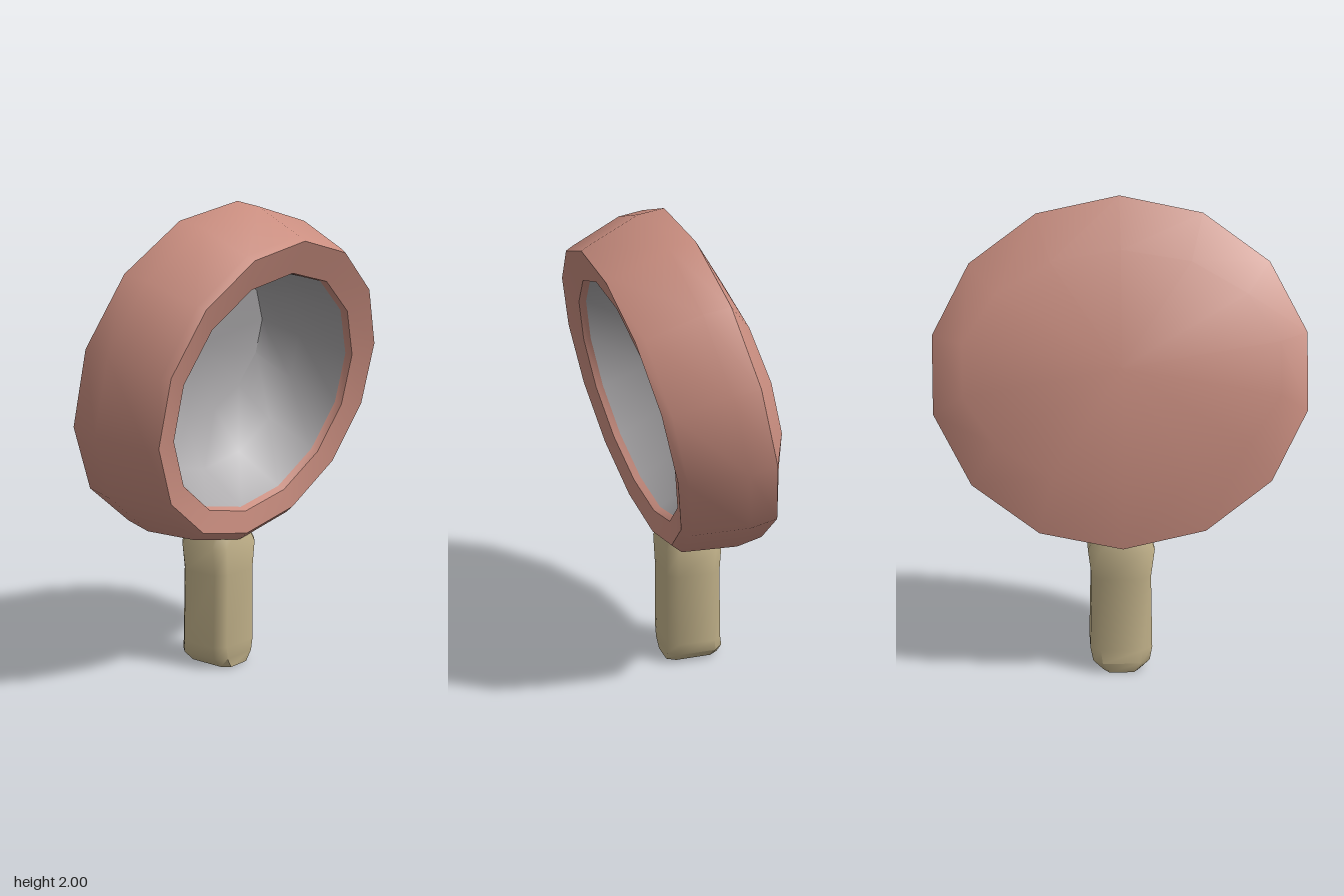
import * as THREE from 'three';
import { toCreasedNormals } from 'three/addons/utils/BufferGeometryUtils.js';

// Skin over elliptical rings [rx, ry, y, z]; power < 1 squares the section off.
function loft(rings, n, phase, power, crease) {
  const pos = [], index = [];
  const shape = (v) => Math.sign(v) * Math.abs(v) ** power;
  for (const [rx, ry, y, z] of rings) {
    for (let j = 0; j < n; j++) {
      const a = phase + (j / n) * Math.PI * 2;
      pos.push(rx * shape(Math.cos(a)), y + ry * shape(Math.sin(a)), z);
    }
  }
  for (let i = 0; i < rings.length - 1; i++) {
    for (let j = 0; j < n; j++) {
      const k = (j + 1) % n;
      const a = i * n + j, b = i * n + k, c = a + n, d = b + n;
      if (rings[i][0] > 0) index.push(a, c, b);
      if (rings[i + 1][0] > 0) index.push(b, c, d);
    }
  }
  const geo = new THREE.BufferGeometry();
  geo.setAttribute('position', new THREE.Float32BufferAttribute(pos, 3));
  geo.setIndex(index);
  return toCreasedNormals(geo, crease);
}

function addPart(parent, name, geo, color) {
  const mesh = new THREE.Mesh(geo, new THREE.MeshStandardMaterial({ color, side: THREE.DoubleSide }));
  mesh.name = name;
  parent.add(mesh);
}

export function createModel() {
  const model = new THREE.Group();
  model.name = 'handMirror';

  // Head, tipped forward at the top
  const head = new THREE.Group();
  head.name = 'head';
  head.position.set(0, 1.28, -0.015);
  head.rotation.x = 0.232;
  model.add(head);

  const sides = 14, phase = Math.PI / 14;

  // Frame: inner lip, front rim, rounded shoulder, flaring side, bevelled back
  addPart(head, 'frame', loft([
    [0.57, 0.518, -0.03, 0.17],
    [0.58, 0.525, -0.03, 0.2],
    [0.70, 0.642, -0.006, 0.228],
    [0.722, 0.67, -0.022, 0.195],
    [0.778, 0.729, -0.019, -0.035],
    [0.788, 0.723, -0.019, -0.145],
    [0.66, 0.48, -0.005, -0.228],
    [0, 0, 0, -0.232],
  ], sides, phase, 1, 0.9), 0xca8e80);

  // Hollow grey bowl: flat floor, steep at the top and sloping at the bottom
  addPart(head, 'bowl', loft([
    [0, 0, 0.06, -0.215],
    [0.42, 0.35, 0.06, -0.205],
    [0.52, 0.46, 0, -0.06],
    [0.572, 0.52, -0.03, 0.175],
  ], sides, phase, 1, 0.9), 0xaaa8aa);

  // Handle: chamfered square post, waisted, with a tapered foot
  const handleGeo = loft([
    [0, 0, 0.1, 0.64],
    [0.1, 0.1, 0.1, 0.64],
    [0.146, 0.13, 0.1, 0.54],
    [0.13, 0.126, 0.1, 0.42],
    [0.137, 0.127, 0.103, 0.1],
    [0.125, 0.131, 0.109, 0.045],
    [0.08, 0.122, 0.105, 0],
    [0, 0, 0.1, 0],
  ], 8, Math.PI / 8, 0.45, 1);
  handleGeo.rotateX(-Math.PI / 2);
  addPart(model, 'handle', handleGeo, 0xc2b28a);

  return model;
}
